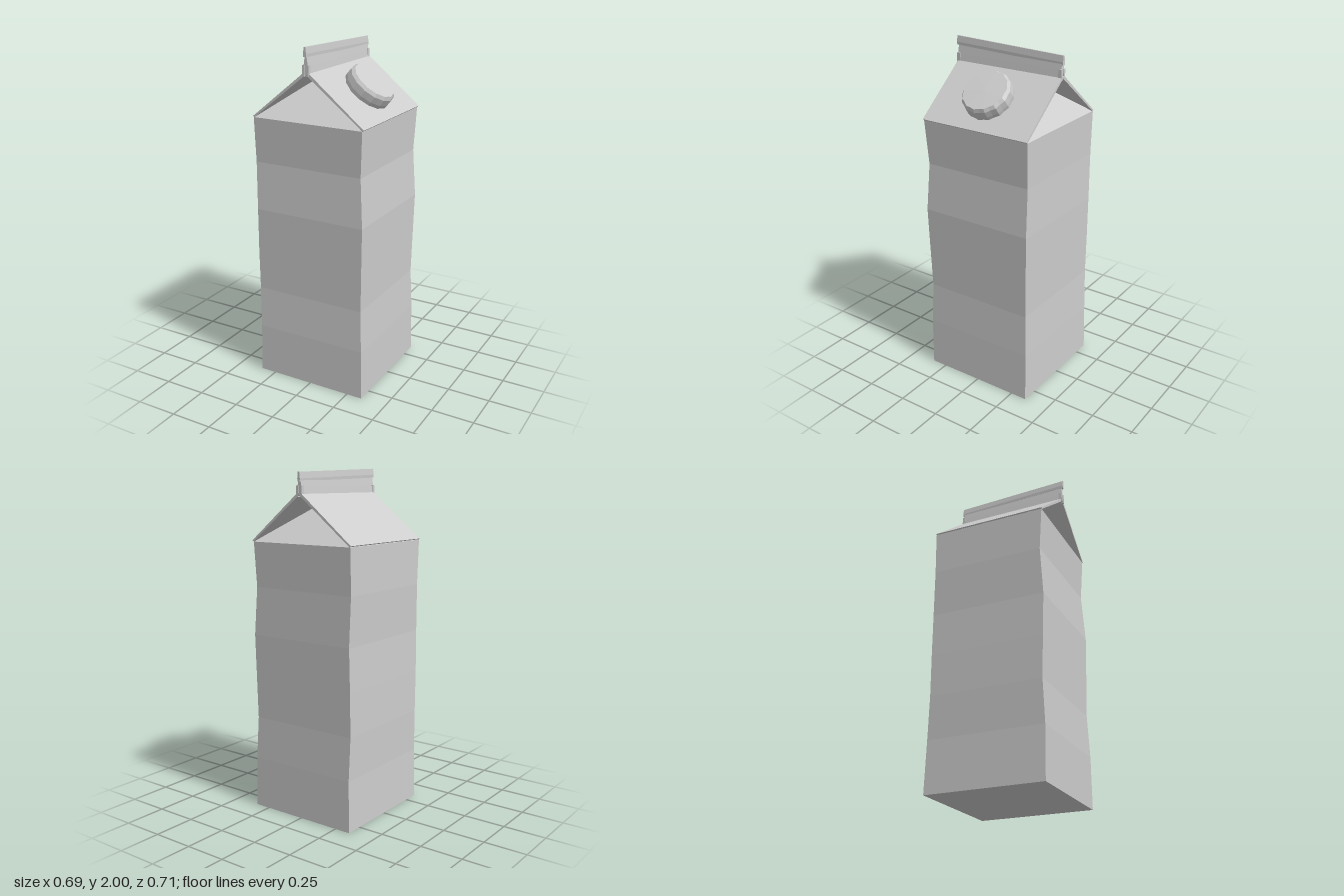
import * as THREE from 'three';

const paper = new THREE.MeshStandardMaterial({ color: 0xcccccc, flatShading: true, side: THREE.DoubleSide });
paper.name = 'paper';

function add(group, name, geometry) {
  const mesh = new THREE.Mesh(geometry, paper);
  mesh.name = name;
  group.add(mesh);
  return mesh;
}

// Geometry from a list of triangles given as corner points
function fromTriangles(tris) {
  const g = new THREE.BufferGeometry();
  g.setAttribute('position', new THREE.Float32BufferAttribute(tris.flat(2), 3));
  g.computeVertexNormals();
  return g;
}

// Cross-section in x and y, run along z between two depths
function runAlongZ(points, z0, z1) {
  const shape = new THREE.Shape(points.map(([x, y]) => new THREE.Vector2(x, y)));
  const g = new THREE.ExtrudeGeometry(shape, { depth: z1 - z0, bevelEnabled: false });
  g.translate(0, 0, z0);
  return g;
}

// Adds the mirrored half of a profile that goes from the eaves to the middle
const mirrored = (half) => [...half, ...half.slice().reverse().map(([x, y]) => [-x, y])];

export function createModel() {
  const carton = new THREE.Group();
  carton.name = 'carton';

  // Slightly dented walls: y, left x, right x, back z, front z
  const levels = [
    [0.0, -0.345, 0.345, -0.35, 0.343],
    [0.3, -0.338, 0.341, -0.345, 0.343],
    [0.55, -0.343, 0.331, -0.336, 0.334],
    [0.8, -0.341, 0.336, -0.339, 0.34],
    [1.05, -0.336, 0.341, -0.342, 0.345],
    [1.33, -0.344, 0.322, -0.337, 0.331],
    [1.59, -0.343, 0.336, -0.342, 0.345],
  ];
  const rings = levels.map(([y, xl, xr, zb, zf]) =>
    [[xl, y, zf], [xr, y, zf], [xr, y, zb], [xl, y, zb]]);
  const walls = [];
  for (let i = 0; i < rings.length - 1; i++) {
    for (let k = 0; k < 4; k++) {
      const n = (k + 1) % 4, a = rings[i][k], b = rings[i][n];
      const c = rings[i + 1][n], d = rings[i + 1][k];
      walls.push([a, b, c], [a, c, d]);
    }
  }
  add(carton, 'walls', fromTriangles(walls));
  const [p, q, r, s] = rings[0];
  add(carton, 'base', fromTriangles([[p, r, q], [p, s, r]]));

  // Gable ends fold inwards under the roof and meet in the middle
  const top = rings[rings.length - 1];
  const apex = [0, 1.852, 0];
  add(carton, 'foldedGables', fromTriangles(top.map((c, k) => [c, top[(k + 1) % 4], apex])));

  // Roof: a thin bent sheet, overhanging the gables
  add(carton, 'roof', runAlongZ([
    [0.346, 1.597], [0.012, 1.866], [-0.012, 1.866], [-0.346, 1.597],
    [-0.338, 1.59], [0, 1.855], [0.338, 1.59],
  ], -0.343, 0.346));

  // Sealed fin: pinched lower part and a thicker, slightly tilted crimp
  add(carton, 'fin', runAlongZ(mirrored([[0.018, 1.86], [0.013, 1.9], [0.006, 1.95]]), -0.338, 0.346));
  const crimp = add(carton, 'crimp', runAlongZ(mirrored([[0.008, 1.938], [0.009, 1.955], [0.005, 1.99]]), -0.345, 0.356));
  const pos = crimp.geometry.attributes.position;
  for (let i = 0; i < pos.count; i++) pos.setY(i, pos.getY(i) + (pos.getZ(i) > 0 ? 0.01 : -0.012));
  crimp.geometry.computeVertexNormals();

  // Small folded lumps at both ends of the ridge
  for (const x of [-0.013, 0.013]) {
    for (const z of [-0.333, 0.341]) {
      const lump = add(carton, 'ridgeFold', new THREE.BoxGeometry(0.012, 0.06, 0.02));
      lump.position.set(x, 1.875, z);
    }
  }

  // Screw cap with a gently scalloped rim, square to the right-hand slope
  const profile = [[0, -0.01], [0.139, -0.01], [0.142, 0.02], [0.14, 0.058], [0.128, 0.077], [0, 0.08]]
    .map(([x, y]) => new THREE.Vector2(x, y));
  const capGeometry = new THREE.LatheGeometry(profile, 28);
  const cp = capGeometry.attributes.position;
  for (let i = 0; i < cp.count; i++) {
    const k = 1 + 0.018 * Math.cos(14 * Math.atan2(cp.getZ(i), cp.getX(i)));
    cp.setXYZ(i, cp.getX(i) * k, cp.getY(i), cp.getZ(i) * k);
  }
  capGeometry.computeVertexNormals();
  const cap = add(carton, 'cap', capGeometry);
  cap.position.set(0.182, 1.732, 0.002);
  cap.rotation.z = -Math.atan2(0.269, 0.334);

  return carton;
}
